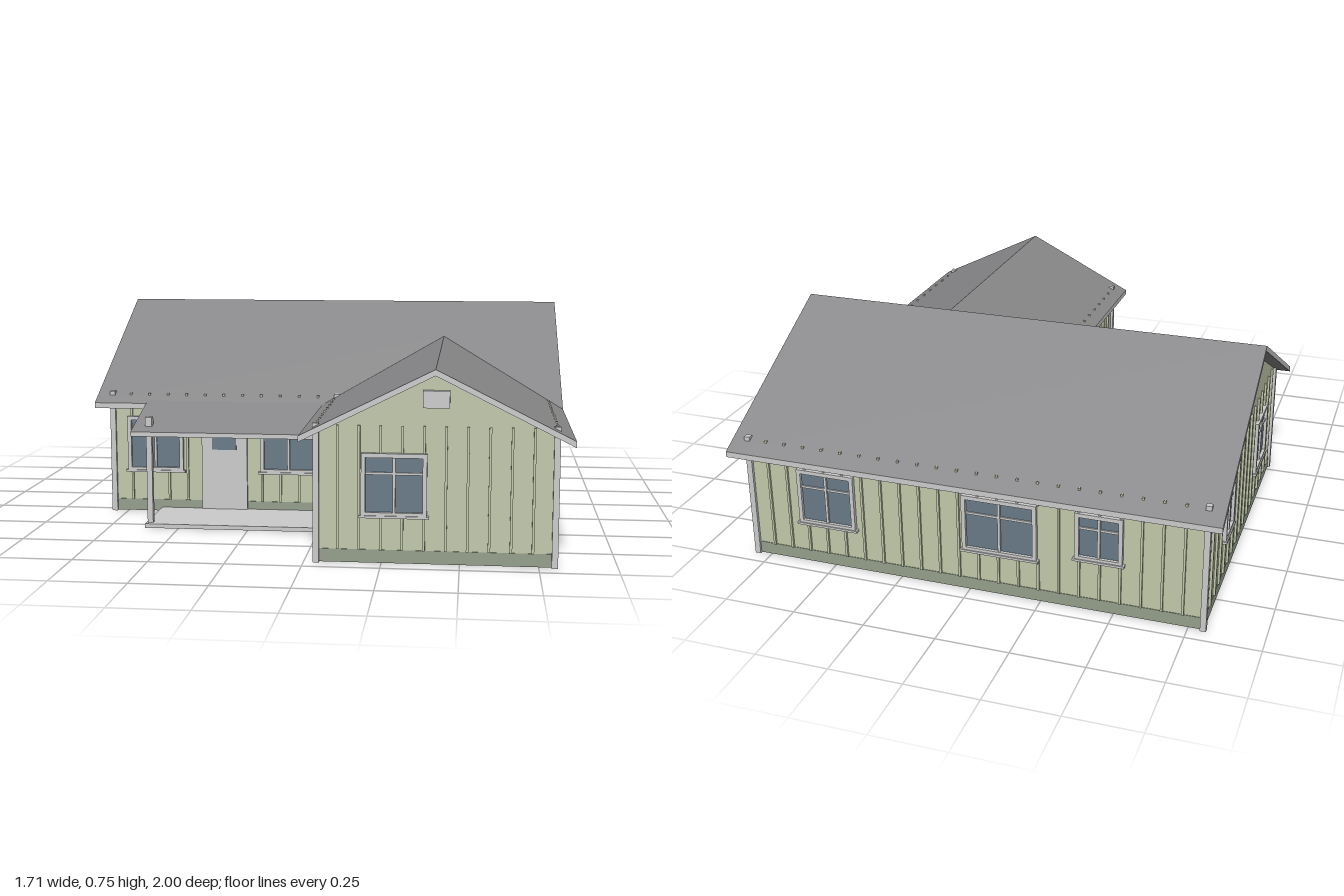
import * as THREE from 'three';

const paint = (color) => new THREE.MeshStandardMaterial({ color });
const trim = paint(0xcccccc);
const siding = paint(0xc2c9ab);
const skirt = paint(0x95a08c);
const glass = paint(0x687a86);
const roofing = paint(0x88888a);

function box(parent, name, material, w, h, d, x, y, z) {
  const mesh = new THREE.Mesh(new THREE.BoxGeometry(w, h, d), material);
  mesh.name = name;
  mesh.position.set(x, y, z);
  parent.add(mesh);
  return mesh;
}

// Window in wall coordinates: centre u, width w, bottom y0, top y1, outer wall face at d
function addWindow(parent, { u, w, y0, y1 }, d) {
  const win = new THREE.Group();
  win.name = 'window';
  const h = y1 - y0, mid = (y0 + y1) / 2, f = 0.014;
  box(win, 'glass', glass, w - f, h - f, 0.016, u, mid, d - 0.005);
  for (const s of [-1, 1]) {
    box(win, 'frameSide', trim, f, h, 0.014, u + s * (w - f) / 2, mid, d + 0.007);
    box(win, 'frameRail', trim, w, f, 0.014, u, mid + s * (h - f) / 2, d + 0.007);
  }
  box(win, 'sill', trim, w + 0.014, 0.008, 0.018, u, y0, d + 0.009);
  box(win, 'mullion', trim, 0.009, h, 0.01, u, mid, d + 0.005);
  box(win, 'glazingBar', trim, w, 0.008, 0.008, u, y0 + h * 0.68, d + 0.004);
  parent.add(win);
}

// Wall panel with skirt, battens, corner boards and windows; it faces its local +z
const EAVE = 0.424;
function addWall(house, name, turn, d, u0, u1, top, windows, extraOpenings = []) {
  const wall = new THREE.Group();
  wall.name = name;
  wall.rotation.y = turn;
  const outline = [[u0, 0.005], [u1, 0.005], ...top].map(([u, y]) => new THREE.Vector2(u, y));
  const panel = new THREE.Mesh(
    new THREE.ExtrudeGeometry(new THREE.Shape(outline), { depth: 0.01, bevelEnabled: false }), siding);
  panel.name = 'siding';
  panel.position.z = d - 0.01;
  wall.add(panel);
  box(wall, 'skirt', skirt, u1 - u0, 0.043, 0.014, (u0 + u1) / 2, 0.0235, d - 0.005);

  // Battens, interrupted at every opening
  const openings = [...windows, ...extraOpenings];
  const count = Math.round((u1 - u0) / 0.07);
  for (let i = 1; i < count; i++) {
    const u = u0 + (u1 - u0) * i / count;
    const hit = openings.find((o) => Math.abs(u - o.u) < o.w / 2 + 0.005);
    const spans = hit ? [[0.045, hit.y0], [hit.y1, 0.448]] : [[0.045, 0.448]];
    for (const [a, b] of spans) {
      if (b - a > 0.01) box(wall, 'batten', siding, 0.008, b - a, 0.008, u, (a + b) / 2, d + 0.004);
    }
  }
  windows.forEach((w) => addWindow(wall, w, d));
  house.add(wall);
  return wall;
}

// Roof slab: plan outline in (x, z) lifted onto the slope given by height(x, z)
function addRoof(house, name, outline, height, thickness = 0.02) {
  const shape = new THREE.Shape(outline.map(([x, z]) => new THREE.Vector2(x, -z)));
  const geo = new THREE.ExtrudeGeometry(shape, { depth: thickness, bevelEnabled: false });
  geo.rotateX(-Math.PI / 2);
  const p = geo.attributes.position;
  for (let i = 0; i < p.count; i++) {
    p.setY(i, p.getY(i) - thickness + height(p.getX(i), p.getZ(i)));
  }
  geo.computeVertexNormals();
  const mesh = new THREE.Mesh(geo, [roofing, trim]);
  mesh.name = name;
  house.add(mesh);
}

export function createModel() {
  const house = new THREE.Group();
  house.name = 'house';
  const win = (u, w, y0 = 0.155, y1 = 0.36) => ({ u, w, y0, y1 });
  const flat = (u0, u1) => [[u1, EAVE], [u0, EAVE]];
  const quarter = Math.PI / 2;

  // Walls: u runs along x (front), -x (back), -z (right) and z (left)
  const door = { u: -0.38, w: 0.17, y0: 0.012, y1: 0.335 };
  const front = addWall(house, 'mainFrontWall', 0, 0.28, -0.8, 0.04, flat(-0.8, 0.04),
    [win(-0.64, 0.21), win(-0.14, 0.21)], [door]);
  addWall(house, 'wingFrontWall', 0, 0.94, 0.04, 0.8,
    [[0.8, EAVE], [0.42, 0.614], [0.04, EAVE]], [win(0.29, 0.21)]);
  addWall(house, 'backWall', Math.PI, 0.94, -0.8, 0.8, flat(-0.8, 0.8),
    [win(-0.515, 0.21), win(0.11, 0.26), win(0.45, 0.16, 0.19)]);
  addWall(house, 'rightWall', quarter, 0.8, -0.94, 0.94,
    [[0.94, EAVE], [0.33, 0.734], [-0.28, EAVE], [-0.94, EAVE]],
    [win(-0.71, 0.11, 0.225), win(-0.065, 0.11, 0.225), win(0.61, 0.16)]);
  addWall(house, 'leftWall', -quarter, 0.8, -0.94, 0.28,
    [[0.28, EAVE], [-0.33, 0.734], [-0.94, EAVE]],
    [win(-0.61, 0.14, 0.18), win(-0.01, 0.21)]);
  addWall(house, 'wingLeftWall', -quarter, -0.04, 0.28, 0.94, flat(0.28, 0.94), [win(0.61, 0.16)]);

  // Corner boards, tops just piercing the roof
  for (const [x, z] of [[-0.8, 0.28], [-0.8, -0.94], [0.8, -0.94], [0.8, 0.94], [0.04, 0.94], [0.04, 0.28]]) {
    box(house, 'cornerBoard', trim, 0.02, 0.454, 0.02, x, 0.227, z);
  }

  // Front door with a small light, and the gable vent
  box(front, 'door', trim, door.w, door.y1 - door.y0, 0.022, door.u, (door.y0 + door.y1) / 2, 0.279);
  box(front, 'doorLight', glass, 0.09, 0.08, 0.004, door.u, 0.28, 0.291);
  box(house, 'gableVent', trim, 0.085, 0.055, 0.016, 0.422, 0.535, 0.948);

  // Main roof, its front slope notched along the valleys of the wing
  const mainSlope = (x, z) => 0.755 - 0.51 * Math.abs(z + 0.33);
  const wingSlope = (x) => 0.635 - 0.5 * Math.abs(x - 0.42);
  addRoof(house, 'mainRoofBack', [[-0.855, -1], [0.855, -1], [0.855, -0.33], [-0.855, -0.33]], mainSlope);
  addRoof(house, 'mainRoofFront', [[-0.855, -0.33], [0.855, -0.33], [0.855, 0.335], [0.42, -0.09],
    [-0.01, 0.335], [-0.855, 0.335]], mainSlope);

  // Wing roof; its outer eave runs on along the side wall
  addRoof(house, 'wingRoofLeft', [[-0.01, 1], [0.42, 1], [0.42, -0.09], [-0.01, 0.335]], wingSlope);
  addRoof(house, 'wingRoofRight', [[0.42, 1], [0.855, 1], [0.855, -0.33], [0.8, -0.33],
    [0.8, 0.28], [0.42, -0.09]], wingSlope);

  // Porch: roof, floor slab, beam and post
  addRoof(house, 'porchRoof', [[-0.66, 0.285], [0.035, 0.285], [0.035, 0.575], [-0.66, 0.575]],
    (x, z) => 0.35 + 0.29 * (0.575 - z), 0.016);
  box(house, 'porchFloor', trim, 0.66, 0.015, 0.27, -0.29, 0.0075, 0.415);
  box(house, 'porchPost', trim, 0.02, 0.38, 0.02, -0.605, 0.19, 0.52);
  box(house, 'porchPostCap', trim, 0.024, 0.032, 0.024, -0.605, 0.38, 0.52);

  return house;
}
